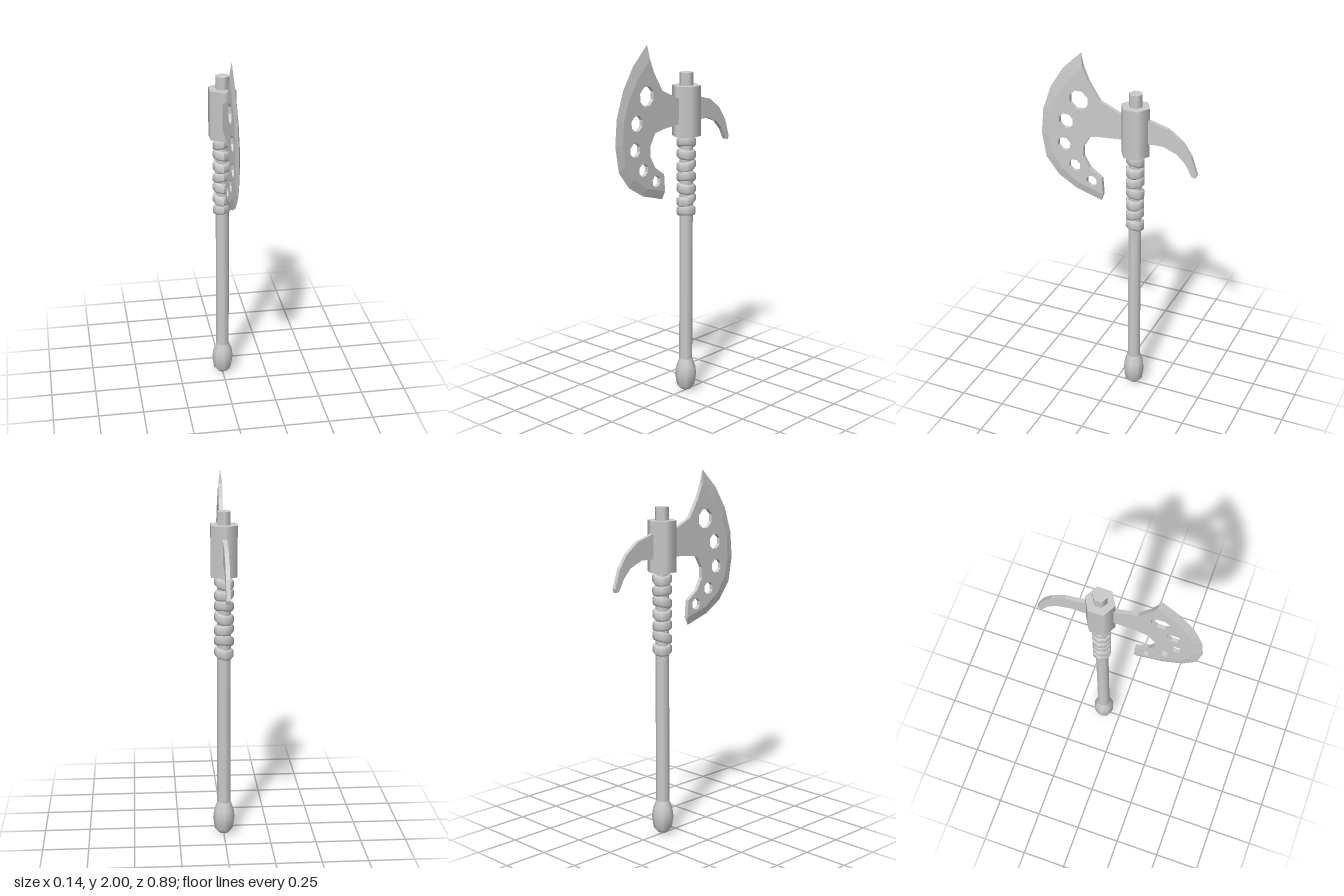
import * as THREE from 'three';

const AXIS_Z = -0.1; // the handle stands behind the centre
const HALF = 0.011; // half thickness of the blade plate

const grey = new THREE.MeshStandardMaterial({ color: 0xcccccc });
const flatGrey = new THREE.MeshStandardMaterial({ color: 0xcccccc, flatShading: true, side: THREE.DoubleSide });

function add(parent, name, geometry, material = grey) {
  const mesh = new THREE.Mesh(geometry, material);
  mesh.name = name;
  parent.add(mesh);
  return mesh;
}

// Upright prism between two heights
function post(parent, name, radius, y0, y1, sides) {
  add(parent, name, new THREE.CylinderGeometry(radius, radius, y1 - y0, sides)).position.set(0, (y0 + y1) / 2, AXIS_Z);
}

// Flat plate from a [z, y] outline, with round holes [z, y, radius]
function plate(outline, holes = []) {
  const shape = new THREE.Shape(outline.map(([z, y]) => new THREE.Vector2(z, y)));
  for (const [z, y, r] of holes) {
    const ring = [];
    for (let i = 0; i < 8; i++) {
      const a = ((i + 0.5) / 8) * Math.PI * 2;
      ring.push(new THREE.Vector2(z + r * Math.cos(a), y + r * Math.sin(a)));
    }
    shape.holes.push(new THREE.Path(ring));
  }
  const g = new THREE.ExtrudeGeometry(shape, { depth: HALF * 2, bevelEnabled: false });
  return g.translate(0, 0, -HALF).rotateY(-Math.PI / 2);
}

// Sharpened strip from the plate's rim (both faces) to the cutting edge
function sharpenedEdge(rim, edge) {
  const pos = [];
  const tri = (a, b, c) => pos.push(...a, ...b, ...c);
  const at = (x, [z, y]) => [x, y, z];
  for (let i = 0; i < rim.length - 1; i++) {
    const e0 = at(0, edge[i]), e1 = at(0, edge[i + 1]);
    const l0 = at(HALF, rim[i]), l1 = at(HALF, rim[i + 1]);
    const r0 = at(-HALF, rim[i]), r1 = at(-HALF, rim[i + 1]);
    tri(l0, e0, e1); tri(l0, e1, l1);
    tri(r0, e1, e0); tri(r0, r1, e1);
  }
  const n = rim.length - 1;
  tri(at(HALF, rim[0]), at(-HALF, rim[0]), at(0, edge[0]));
  tri(at(-HALF, rim[n]), at(HALF, rim[n]), at(0, edge[n]));
  const g = new THREE.BufferGeometry();
  g.setAttribute('position', new THREE.Float32BufferAttribute(pos, 3));
  g.computeVertexNormals();
  return g;
}

// One slanted turn of the leather wrap
function wrapBand(height, slant, phase) {
  const h = height / 2;
  const profile = [[0.03, -h], [0.045, -h], [0.053, -h * 0.55], [0.053, h * 0.55], [0.045, h], [0.03, h]];
  const g = new THREE.LatheGeometry(profile.map(([r, y]) => new THREE.Vector2(r, y)), 8);
  const p = g.attributes.position;
  for (let i = 0; i < p.count; i++) {
    const a = Math.atan2(p.getX(i), p.getZ(i));
    p.setY(i, p.getY(i) + slant * Math.cos(a - phase));
  }
  g.computeVertexNormals();
  return g;
}

export function createModel() {
  const axe = new THREE.Group();
  axe.name = 'battleAxe';

  // Handle, collar and rounded pommel
  post(axe, 'shaft', 0.037, 0.15, 1.5, 8);
  post(axe, 'collar', 0.08, 1.48, 1.755, 6);
  post(axe, 'shaftTip', 0.038, 1.75, 1.825, 6);
  const knob = [[0, 0], [0.03, 0.012], [0.05, 0.035], [0.06, 0.1], [0.054, 0.15], [0.037, 0.195]];
  add(axe, 'pommel', new THREE.LatheGeometry(knob.map(([r, y]) => new THREE.Vector2(r, y)), 8))
    .position.z = AXIS_Z;

  // Leather wrap below the collar
  const wrap = new THREE.Group();
  wrap.name = 'gripWrap';
  wrap.position.z = AXIS_Z;
  axe.add(wrap);
  for (let i = 0; i < 7; i++) {
    const slant = 0.009 + 0.005 * Math.sin(i * 2.3);
    add(wrap, 'wrapBand', wrapBand(0.054, slant, Math.PI * 0.25 + i * 2.1)).position.y = 1.06 + i * 0.064;
  }

  // Crescent blade: holed plate with a sharpened outer edge
  const edge = [[0.206, 2], [0.312, 1.897], [0.386, 1.78], [0.434, 1.642], [0.447, 1.5],
    [0.423, 1.36], [0.349, 1.266], [0.243, 1.203], [0.095, 1.16]];
  const rim = [[0.196, 1.925], [0.286, 1.83], [0.355, 1.727], [0.392, 1.62], [0.402, 1.5],
    [0.38, 1.395], [0.325, 1.312], [0.226, 1.244], [0.083, 1.203]];
  const inner = [[0.09, 1.298], [0.159, 1.346], [0.196, 1.41], [0.196, 1.468], [0.159, 1.531],
    [0.1, 1.543], [-0.02, 1.553], [AXIS_Z, 1.553], [AXIS_Z, 1.7], [-0.02, 1.695], [0.1, 1.748], [0.164, 1.849]];
  const holes = [[0.22, 1.733, 0.055], [0.296, 1.6, 0.043], [0.31, 1.462, 0.039],
    [0.249, 1.346, 0.035], [0.15, 1.27, 0.032]];
  add(axe, 'blade', plate([...rim, ...inner], holes), flatGrey);
  add(axe, 'cuttingEdge', sharpenedEdge(rim, edge), flatGrey);

  // Curved spike behind the collar
  const spike = [[AXIS_Z, 1.7], [-0.175, 1.69], [-0.286, 1.658], [-0.365, 1.6], [-0.413, 1.531], [-0.448, 1.43],
    [-0.44, 1.41], [-0.42, 1.415], [-0.386, 1.478], [-0.339, 1.526], [-0.26, 1.558], [AXIS_Z, 1.553]];
  add(axe, 'backSpike', plate(spike), flatGrey);

  return axe;
}
